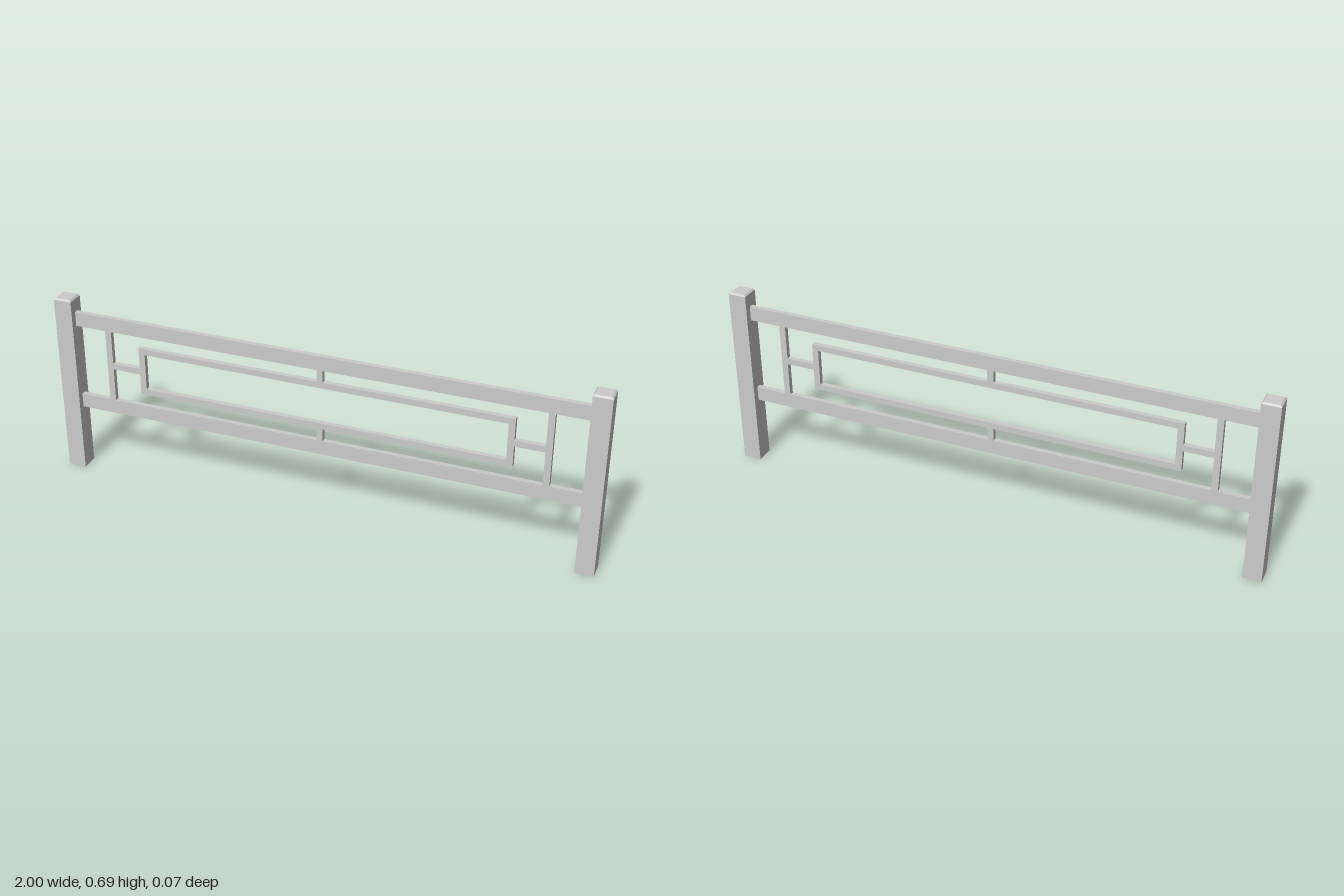
import * as THREE from 'three';

const POST = { width: 0.067, height: 0.69, chamfer: 0.006 };
const DEPTH = 0.018; // thickness of rails and infill bars
const BAR = 0.023; // face width of infill bars

export function createModel() {
  const group = new THREE.Group();
  group.name = 'fencePanel';
  const material = new THREE.MeshStandardMaterial({ color: 0xcccccc, flatShading: true });

  const add = (name, geometry, x, y, z = 0) => {
    const mesh = new THREE.Mesh(geometry, material);
    mesh.name = name;
    mesh.position.set(x, y, z);
    group.add(mesh);
    return mesh;
  };
  // Bar given by its extents in the panel plane
  const bar = (name, x0, x1, y0, y1) =>
    add(name, new THREE.BoxGeometry(x1 - x0, y1 - y0, DEPTH), (x0 + x1) / 2, (y0 + y1) / 2);

  // Horizontal rails between the posts
  const inner = 1 - POST.width;
  bar('topRail', -inner, inner, 0.581, 0.635);
  bar('bottomRail', -inner, inner, 0.249, 0.303);

  // Rectangular frame floating in the middle
  const frame = new THREE.Shape([
    new THREE.Vector2(-0.688, 0.351), new THREE.Vector2(0.688, 0.351),
    new THREE.Vector2(0.688, 0.536), new THREE.Vector2(-0.688, 0.536),
  ]);
  const x = 0.688 - BAR, low = 0.351 + BAR, high = 0.536 - BAR;
  frame.holes.push(new THREE.Path([
    new THREE.Vector2(-x, low), new THREE.Vector2(-x, high),
    new THREE.Vector2(x, high), new THREE.Vector2(x, low),
  ]));
  add('centreFrame', new THREE.ExtrudeGeometry(frame, { depth: DEPTH, bevelEnabled: false }), 0, 0, -DEPTH / 2);

  // Short ties from the frame to the rails
  bar('upperTie', -BAR / 2, BAR / 2, 0.536, 0.581);
  bar('lowerTie', -BAR / 2, BAR / 2, 0.303, 0.351);

  // Mirrored posts, uprights and side ties
  for (const [side, s] of [['left', 1], ['right', -1]]) {
    const span = (a, b) => (s > 0 ? [a, b] : [-b, -a]);
    bar(side + 'Upright', ...span(0.794, 0.794 + BAR), 0.303, 0.581);
    bar(side + 'Tie', ...span(0.688, 0.794), 0.442 - BAR / 2, 0.442 + BAR / 2);

    const { width, height, chamfer } = POST;
    const px = s * (1 - width / 2);
    const shaft = height - chamfer;
    // Post with a chamfered top: the upper ring of a two-segment box is pulled in
    const post = new THREE.BoxGeometry(width, height, width, 1, 2, 1);
    const p = post.attributes.position;
    const k = (width - 2 * chamfer) / width;
    for (let i = 0; i < p.count; i++) {
      const y = p.getY(i);
      if (y > 0.01) p.setXYZ(i, p.getX(i) * k, y, p.getZ(i) * k);
      else if (y > -0.01) p.setY(i, shaft - height / 2);
    }
    post.computeVertexNormals();
    add(side + 'Post', post, px, height / 2);
  }
  return group;
}
